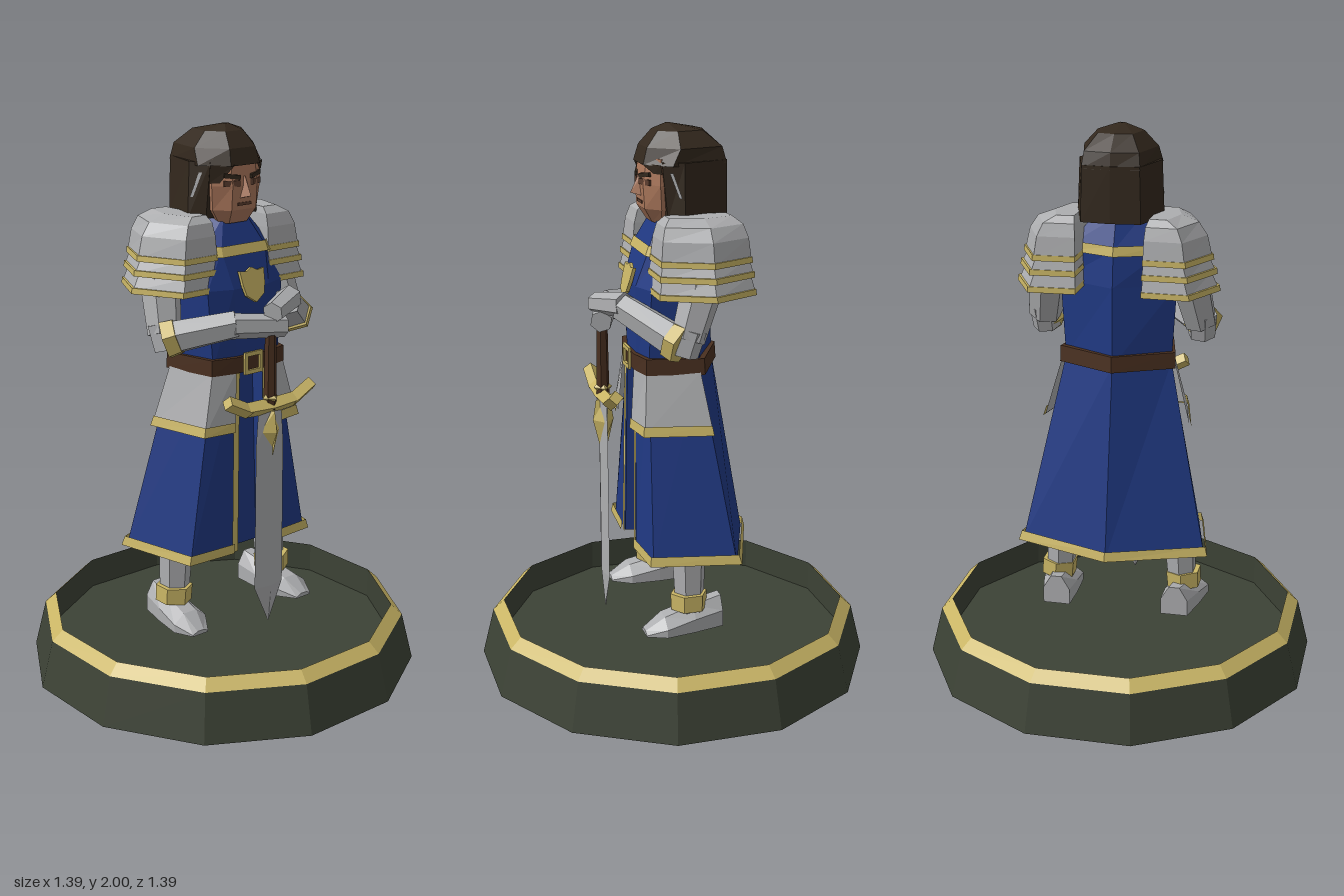
import * as THREE from 'three';

const paint = (name, color, side = THREE.FrontSide) => {
  const m = new THREE.MeshStandardMaterial({ color, side, flatShading: true });
  m.name = name;
  return m;
};

export function createModel() {
  const model = new THREE.Group();
  model.name = 'knightStatue';
  const blue = paint('blue cloth', 0x203983, THREE.DoubleSide);
  const gold = paint('gold trim', 0xc9b565, THREE.DoubleSide);
  const steel = paint('steel', 0xadaeb0, THREE.DoubleSide);
  const stone = paint('dark green stone', 0x3c4235, THREE.DoubleSide);
  const hair = paint('dark hair', 0x33281d, THREE.DoubleSide);
  const skin = paint('skin', 0xac785c);
  const shade = paint('face shadow', 0x5c3e2f);
  const leather = paint('brown leather', 0x4a3020);

  const add = (name, geo, mat) => {
    const m = new THREE.Mesh(geo, mat);
    m.name = name;
    model.add(m);
    return m;
  };

  // Surface through rings listed bottom to top; ring points run from +z towards +x
  const loft = (rings, closed = true, caps = closed) => {
    const pos = [];
    const tri = (a, b, c) => pos.push(...a, ...b, ...c);
    for (let i = 0; i + 1 < rings.length; i++) {
      const a = rings[i], b = rings[i + 1], n = a.length;
      for (let j = 0; j < (closed ? n : n - 1); j++) {
        const k = (j + 1) % n;
        tri(a[j], a[k], b[k]);
        tri(a[j], b[k], b[j]);
      }
    }
    if (caps) {
      const lo = rings[0], hi = rings[rings.length - 1];
      for (let j = 1; j + 1 < lo.length; j++) {
        tri(lo[0], lo[j + 1], lo[j]);
        tri(hi[0], hi[j], hi[j + 1]);
      }
    }
    const g = new THREE.BufferGeometry();
    g.setAttribute('position', new THREE.Float32BufferAttribute(pos, 3));
    g.computeVertexNormals();
    return g;
  };
  const flip = (ring, s) => (s > 0 ? ring : ring.map(([x, y, z]) => [-x, y, z]).reverse());

  // Tapered bar between two points
  const limb = (name, a, b, ra, rb, mat, sides = 6) => {
    const p = new THREE.Vector3(...a), q = new THREE.Vector3(...b), d = q.clone().sub(p);
    const m = add(name, new THREE.CylinderGeometry(rb, ra, d.length(), sides), mat);
    m.position.copy(p).add(q).multiplyScalar(0.5);
    m.quaternion.setFromUnitVectors(new THREE.Vector3(0, 1, 0), d.normalize());
    return m;
  };

  // Symmetric seven-point section: front corner, front side, rear side, back ridge
  const section = ([y, ax, az, bx, bz, cx, cz, dz], g = 0) => {
    const half = [[ax + g, y, az + g], [bx + g, y, bz + g], [cx + g, y, cz - g]];
    return [...half, [0, y, dz - g], ...flip(half, -1)];
  };
  const sliceAt = (profile, y) => {
    let i = 0;
    while (i < profile.length - 2 && y > profile[i + 1][0]) i++;
    const a = profile[i], b = profile[i + 1], t = (y - a[0]) / (b[0] - a[0]);
    return a.map((v, k) => v + (b[k] - v) * t);
  };

  // Base with chamfered gold rim and sunken floor
  const ringBand = (r0, y0, r1, y1) => {
    const k = 1 / Math.cos(Math.PI / 12);
    const ring = (r, y) => Array.from({ length: 12 }, (_, i) => {
      const t = (i + 0.5) * Math.PI / 6;
      return [Math.sin(t) * r * k, y, Math.cos(t) * r * k];
    });
    return [ring(r0, y0), ring(r1, y1)];
  };
  add('baseWall', loft(ringBand(0.697, 0, 0.655, 0.175), true, false), stone);
  add('baseRim', loft(ringBand(0.655, 0.175, 0.615, 0.213), true, false), gold);
  add('baseInnerWall', loft(ringBand(0.615, 0.1, 0.615, 0.213).reverse(), true, false), stone);
  add('baseFloor', loft(ringBand(0.697, 0, 0.62, 0.1)), stone);

  // Robe, with a recessed panel behind the front opening
  const robe = [
    [0.48, 0.075, 0.162, 0.272, 0.15, 0.338, -0.14, -0.268],
    [1.17, 0.06, 0.152, 0.15, 0.13, 0.193, -0.04, -0.145],
    [1.45, 0.08, 0.158, 0.17, 0.125, 0.21, -0.04, -0.14],
    [1.58, 0.1, 0.115, 0.15, 0.08, 0.17, -0.06, -0.125],
    [1.69, 0.05, 0.065, 0.08, 0.03, 0.085, -0.04, -0.08],
  ];
  const cut = (y, g = 0) => section(sliceAt(robe, y), g);
  const skirtRing = y => {
    const [x, , z] = cut(y)[0];
    return [...cut(y), [0.01 - x, y, z - 0.045], [x - 0.01, y, z - 0.045]];
  };
  add('skirt', loft([skirtRing(0.48), skirtRing(1.17)], true, false), blue);
  add('skirtHem', loft([cut(0.478, 0.014), cut(0.512, 0.011)], false), gold);
  add('tunic', loft(robe.slice(1).map(r => section(r))), blue);
  add('collarTrim', loft([cut(1.56, 0.007), cut(1.595, 0.007)], true, false), gold);
  add('belt', loft([cut(1.15, 0.014), cut(1.208, 0.014)]), leather);
  const outlineShape = pts => new THREE.Shape(pts.map(p => new THREE.Vector2(...p)));
  const plate = (shape, depth) => new THREE.ExtrudeGeometry(shape, { depth, bevelEnabled: false });
  const buckle = outlineShape([[-0.042, -0.04], [0.042, -0.04], [0.042, 0.04], [-0.042, 0.04]]);
  buckle.holes.push(outlineShape([[-0.027, -0.025], [-0.027, 0.025], [0.027, 0.025], [0.027, -0.025]]));
  add('buckle', plate(buckle, 0.009), gold).position.set(0, 1.18, 0.166);

  // Chest shield
  const shield = add('chestShield', plate(outlineShape([[0, -0.065], [0.04, -0.038], [0.05, 0], [0.055, 0.05],
    [0.025, 0.045], [0, 0.058], [-0.025, 0.045], [-0.055, 0.05], [-0.05, 0], [-0.04, -0.038]]), 0.012), gold);
  shield.position.set(0, 1.46, 0.16);
  shield.rotation.x = -0.25;

  for (const s of [1, -1]) {
    const P = (x, y, z) => [s * x, y, z];

    // Gold edge of the skirt opening
    const edge = y => {
      const [x, , z] = cut(y)[0];
      return flip([[x - 0.008, y, z + 0.006], [x + 0.018, y, z + 0.006]], s);
    };
    add('skirtEdge', loft([edge(0.48), edge(1.15)], false), gold);

    // Hip plate
    const hip = (y, g) => {
      const [a, b, c] = cut(y, g);
      return flip([a, b, [c[0], y, c[2] + g]], s);
    };
    add('hipPlate', loft([hip(0.95, 0.026), hip(1.16, 0.012)], false), steel);
    add('hipPlateTrim', loft([hip(0.943, 0.033), hip(0.978, 0.03)], false), gold);

    // Tiered shoulder armour
    const outline = [[0.115, 0.125], [0.275, 0.125], [0.36, -0.05], [0.28, -0.215], [0.115, -0.21]];
    const tier = (y, k) => flip(outline.map(([x, z]) =>
      [0.14 + (x - 0.14) * k, y, -0.04 + (z + 0.04) * (k + 0.8) / 1.8]), s);
    add('shoulderDome', loft([tier(1.56, 0.88), tier(1.635, 0.8), tier(1.68, 0.66), tier(1.703, 0.38)]), steel);
    [[1.56, 0.88], [1.51, 0.94], [1.45, 0.99]].forEach(([y, k], i) => {
      if (i) add('shoulderPlate', loft([tier(y, k), tier(y + 0.055, k - 0.12)]), steel);
      add('shoulderTrim', loft([tier(y - 0.009, k + 0.03), tier(y + 0.011, k + 0.018)]), gold);
    });

    // Arms, crossed hands resting on the sword
    const wristY = s > 0 ? 1.39 : 1.345;
    limb('upperArm', P(0.25, 1.5, -0.04), P(0.285, 1.3, 0.03), 0.074, 0.06, steel);
    limb('elbow', P(0.29, 1.34, 0.02), P(0.285, 1.25, 0.045), 0.055, 0.05, steel);
    limb('elbowTrim', P(0.3, 1.288, 0.055), P(0.268, 1.303, 0.085), 0.071, 0.066, gold);
    limb('forearm', P(0.288, 1.295, 0.065), P(0.115, wristY, 0.215), 0.062, 0.051, steel);
    if (s > 0) limb('leftHand', P(0.135, 1.4, 0.21), P(-0.01, 1.38, 0.28), 0.046, 0.038, steel);
    else limb('rightHand', P(0.135, 1.34, 0.21), P(-0.05, 1.325, 0.275), 0.045, 0.04, steel);

    // Leg, ankle cuff and armoured shoe
    limb('shin', P(0.235, 0.27, 0.005), P(0.222, 0.53, 0.005), 0.052, 0.064, steel);
    limb('ankleCuff', P(0.242, 0.285, 0.01), P(0.238, 0.345, 0.01), 0.066, 0.068, gold);
    const foot = (z, w, y, top) => {
      const x = 0.225 + (z + 0.1) * 0.1;
      return flip([[x - w, 0.21, z], [x + w, 0.21, z], [x + w, y, z], [x + w * 0.4, top, z],
        [x - w * 0.4, top, z], [x - w, y, z]], s);
    };
    add('shoe', loft([foot(-0.11, 0.05, 0.27, 0.32), foot(0, 0.065, 0.26, 0.3),
      foot(0.11, 0.072, 0.24, 0.272), foot(0.18, 0.035, 0.215, 0.225)]), steel);
  }

  // Sword
  const Z = 0.26;
  const diamond = (y, w, t) => [[0, y, Z + t], [w, y, Z], [0, y, Z - t], [-w, y, Z]];
  add('blade', loft([diamond(0.22, 0.002, 0.002), diamond(0.36, 0.066, 0.014),
    diamond(0.9, 0.064, 0.015), diamond(1.03, 0.054, 0.016)]), steel);
  add('bladeOrnament', loft([diamond(0.855, 0.001, 0.015), diamond(0.95, 0.046, 0.038),
    diamond(1.025, 0.014, 0.026)]), gold);
  limb('grip', [0, 1.03, Z], [0, 1.32, Z], 0.024, 0.02, leather);
  add('guardGem', new THREE.OctahedronGeometry(0.034), gold).position.set(0, 1.072, Z);
  for (const s of [1, -1]) {
    limb('crossguard', [0, 1.04, Z], [s * 0.11, 1.045, Z], 0.03, 0.027, gold, 4);
    limb('crossguardTip', [s * 0.1, 1.04, Z], [s * 0.195, 1.088, Z], 0.027, 0.026, gold, 4);
  }

  // Head
  add('face', loft([
    [1.665, 0.04, 0.085, 0.065, 0.06, 0.06, -0.04, -0.06],
    [1.715, 0.055, 0.116, 0.1, 0.068, 0.09, -0.04, -0.06],
    [1.8, 0.055, 0.122, 0.11, 0.075, 0.1, -0.04, -0.06],
    [1.89, 0.055, 0.108, 0.105, 0.072, 0.09, -0.04, -0.06],
  ].map(r => section(r))), skin);
  add('nose', loft([
    [[-0.022, 1.755, 0.115], [0, 1.765, 0.153], [0.022, 1.755, 0.115]],
    [[-0.01, 1.83, 0.11], [0, 1.83, 0.122], [0.01, 1.83, 0.11]],
  ]), skin);
  add('mouth', new THREE.BoxGeometry(0.06, 0.01, 0.008), shade).position.set(0, 1.735, 0.117);
  for (const s of [1, -1]) {
    const brow = add('brow', new THREE.BoxGeometry(0.06, 0.015, 0.009), hair);
    brow.position.set(s * 0.052, 1.832, 0.115);
    brow.rotation.set(0, s * 0.35, s * 0.15);
    const eye = add('eyeShadow', new THREE.BoxGeometry(0.058, 0.02, 0.008), shade);
    eye.position.set(s * 0.054, 1.808, 0.115);
    eye.rotation.y = s * 0.4;
  }

  // Hair: long locks behind the face, faceted crown above, grey temple streaks
  const locks = [
    [1.685, 0.115, 0.05, 0.155, 0, 0.105, -0.165, -0.175],
    [1.88, 0.112, 0.07, 0.147, 0, 0.1, -0.165, -0.176],
  ];
  add('hairLocks', loft(locks.map(r => section(r))), hair);
  add('hairCrown', loft([
    [1.868, 0.065, 0.124, 0.142, 0.04, 0.102, -0.165, -0.176],
    [1.925, 0.058, 0.108, 0.132, 0.01, 0.095, -0.15, -0.165],
    [1.978, 0.04, 0.065, 0.082, 0.005, 0.06, -0.09, -0.105],
    [2.0, 0.008, 0.025, 0.012, 0.018, 0.01, 0.01, 0.005],
  ].map(r => section(r))), hair);
  for (const s of [1, -1]) {
    const streak = (y, t) => {
      const [a, b] = section(sliceAt(locks, y), 0.004);
      return flip([t, t + 0.16].map(k => [a[0] + (b[0] - a[0]) * k, y, a[2] + (b[2] - a[2]) * k]), s);
    };
    add('greyStreak', loft([streak(1.76, 0.75), streak(1.845, 0.35)], false), steel);
    // Hairline swept to one side of the forehead
    const low = s > 0 ? 1.84 : 1.81;
    add('fringe', loft([flip([[0.09, low, 0.094], [0.118, low, 0.07]], s),
      flip([[0.05, 1.872, 0.126], [0.118, 1.872, 0.076]], s)], false), hair);
  }
  return model;
}
